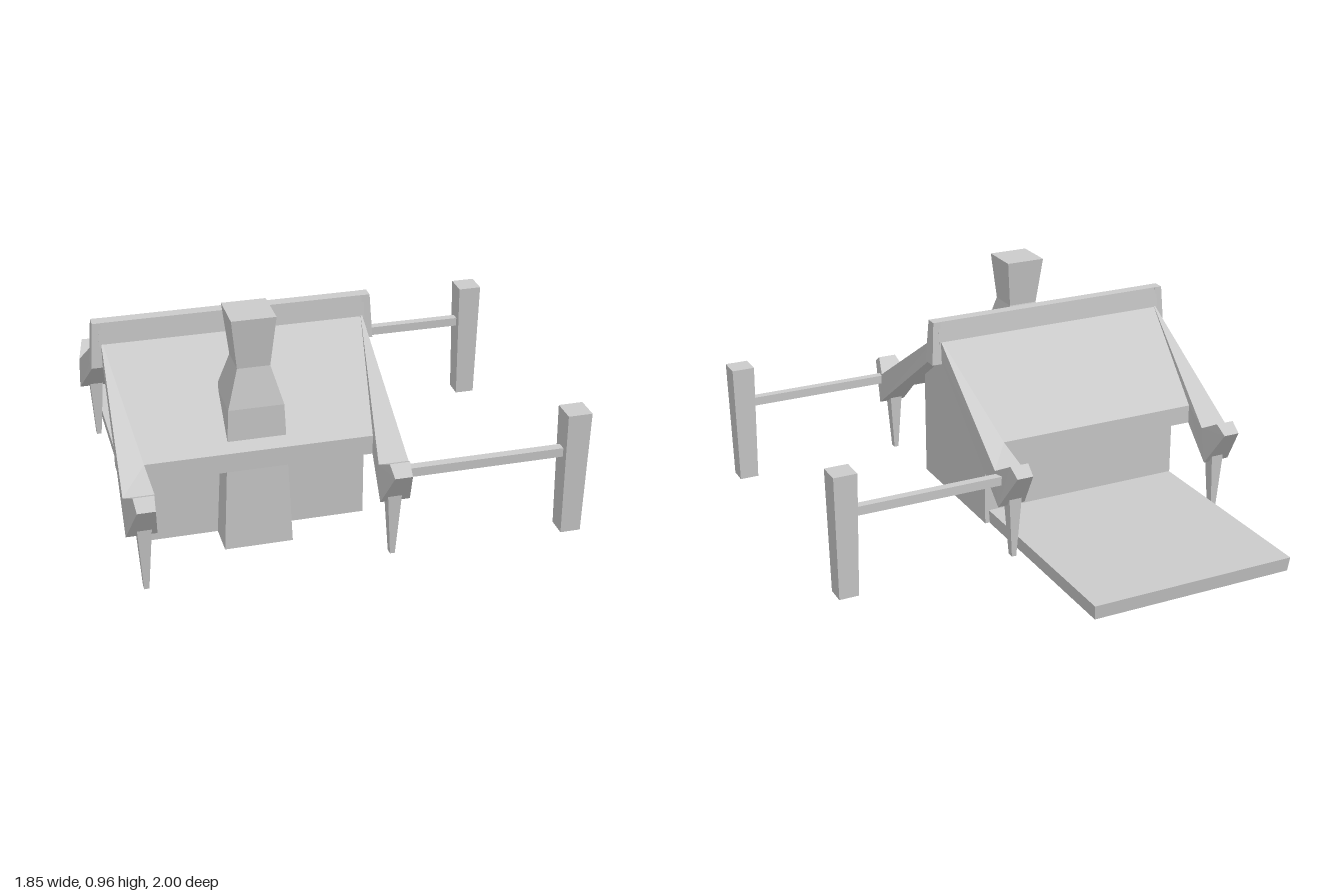
import * as THREE from 'three';

const CX = -0.3525; // house centre line
const CZ = 0.25;    // ridge line

const material = new THREE.MeshStandardMaterial({
  color: 0xcccccc, flatShading: true, side: THREE.DoubleSide,
});

// Flat-shaded mesh from a list of quads (each four [x, y, z] corners)
function quadMesh(name, quads) {
  const pos = [];
  for (const [a, b, c, d] of quads) pos.push(...a, ...b, ...c, ...a, ...c, ...d);
  const geo = new THREE.BufferGeometry();
  geo.setAttribute('position', new THREE.Float32BufferAttribute(pos, 3));
  geo.computeVertexNormals();
  const mesh = new THREE.Mesh(geo, material);
  mesh.name = name;
  return mesh;
}

// Rectangular rings [y, x0, x1, z0, z1] joined from bottom to top
function loft(name, rings, openBottom = false) {
  const loops = rings.map(([y, x0, x1, z0, z1]) =>
    [[x0, y, z1], [x1, y, z1], [x1, y, z0], [x0, y, z0]]);
  const quads = [loops[loops.length - 1]];
  if (!openBottom) quads.push([...loops[0]].reverse());
  for (let k = 0; k + 1 < loops.length; k++) {
    for (let i = 0; i < 4; i++) {
      const j = (i + 1) % 4;
      quads.push([loops[k][i], loops[k][j], loops[k + 1][j], loops[k + 1][i]]);
    }
  }
  return quadMesh(name, quads);
}

// Gabled body, open underneath
function createBody() {
  const x0 = -0.815, x1 = 0.11, zf = 0.56, zb = -0.065;
  const profile = [[zf, 0], [zf, 0.47], [CZ, 0.69], [zb, 0.47], [zb, 0]];
  const quads = [];
  for (let i = 0; i < 4; i++) {
    const [za, ya] = profile[i], [zc, yc] = profile[i + 1];
    quads.push([[x0, ya, za], [x1, ya, za], [x1, yc, zc], [x0, yc, zc]]);
  }
  for (const [x, flip] of [[x1, false], [x0, true]]) {
    const p = profile.map(([z, y]) => [x, y, z]);
    for (const q of [[p[0], p[4], p[3], p[1]], [p[1], p[3], p[2], p[2]]]) {
      quads.push(flip ? q.reverse() : q);
    }
  }
  return quadMesh('body', quads);
}

// One quarter of the roof, ending in an upturned corner horn; mirrored four ways
function createRoof() {
  const C = [0, 0.77, 0], Cb = [0, 0.69, 0];             // ridge centre, top and underside
  const R = [0.53, 0.77, 0], Rb = [0.53, 0.69, 0];       // ridge end
  const M = [0, 0.44, 0.47], Mb = [0, 0.36, 0.47];       // eave centre
  const E = [0.45, 0.44, 0.47], Eb = [0.45, 0.36, 0.47]; // eave end
  const VO = [0.555, 0.385, 0.6], VI = [0.435, 0.385, 0.6];    // horn valley
  const PO = [0.53, 0.435, 0.69], PI = [0.45, 0.435, 0.69];    // horn peak
  const TO = [0.525, 0.40, 0.745], TI = [0.455, 0.40, 0.745];  // horn tip
  const BO = [0.555, 0.235, 0.63], BI = [0.435, 0.235, 0.63];  // horn bottom
  const quarter = [
    [C, M, E, R], [R, E, VI, VO], [VI, PI, PO, VO], [PI, TI, TO, PO],
    [TI, BI, BO, TO], [Rb, Eb, Mb, Cb], [Rb, BO, BI, Eb], [M, Mb, Eb, E],
    [E, Eb, BI, VI], [VI, BI, TI, PI], [R, VO, BO, Rb], [VO, PO, TO, BO],
  ];
  const quads = [];
  for (const sx of [1, -1]) for (const sz of [1, -1]) for (const q of quarter) {
    const m = q.map(([x, y, z]) => [CX + sx * x, y, CZ + sz * z]);
    quads.push(sx * sz < 0 ? m.reverse() : m);
  }
  return quadMesh('roof', quads);
}

// Ridge beam with a tapered block hanging over each gable
function createRidge() {
  const ridge = new THREE.Group();
  ridge.name = 'ridge';
  ridge.add(loft('ridgeBeam', [
    [0.74, CX - 0.54, CX + 0.54, CZ - 0.033, CZ + 0.033],
    [0.837, CX - 0.54, CX + 0.54, CZ - 0.024, CZ + 0.024],
  ]));
  for (const s of [-1, 1]) {
    const inner = CX + s * 0.53, low = CX + s * 0.575, high = CX + s * 0.563;
    ridge.add(loft('ridgeEnd', [
      [0.65, Math.min(inner, low), Math.max(inner, low), CZ - 0.036, CZ + 0.036],
      [0.837, Math.min(inner, high), Math.max(inner, high), CZ - 0.025, CZ + 0.025],
    ]));
  }
  return ridge;
}

export function createModel() {
  const model = new THREE.Group();
  model.name = 'house';

  model.add(createBody(), createRoof(), createRidge());

  // Flared chimney running up through the roof
  model.add(loft('chimney', [
    [0, -0.495, -0.22, 0.43, 0.70],
    [0.6, -0.465, -0.245, 0.455, 0.672],
    [0.755, -0.42, -0.29, 0.50, 0.635],
    [0.962, -0.443, -0.268, 0.475, 0.652],
  ], true));

  // Hollow terrace behind the house
  model.add(loft('terrace', [
    [0, -0.805, 0.09, -0.992, -0.07],
    [0.062, -0.81, 0.095, -1, -0.07],
  ], true));

  for (const s of [1, -1]) {
    const z = CZ + s * 0.625;
    // Tapered legs below the roof horns
    for (const sx of [1, -1]) {
      const x = CX + sx * 0.487;
      model.add(loft('roofLeg', [
        [0, x - 0.01, x + 0.01, z - 0.015, z + 0.015],
        [0.27, x - 0.028, x + 0.028, z - 0.028, z + 0.028],
      ]));
    }
    // Free-standing post and the rail tying it to the roof
    model.add(loft('post', [
      [0, 0.832, 0.915, z - 0.041, z + 0.041],
      [0.532, 0.823, 0.922, z - 0.05, z + 0.05],
    ]));
    model.add(loft('rail', [
      [0.337, 0.14, 0.85, z - 0.018, z + 0.018],
      [0.375, 0.14, 0.85, z - 0.018, z + 0.018],
    ]));
  }
  return model;
}
